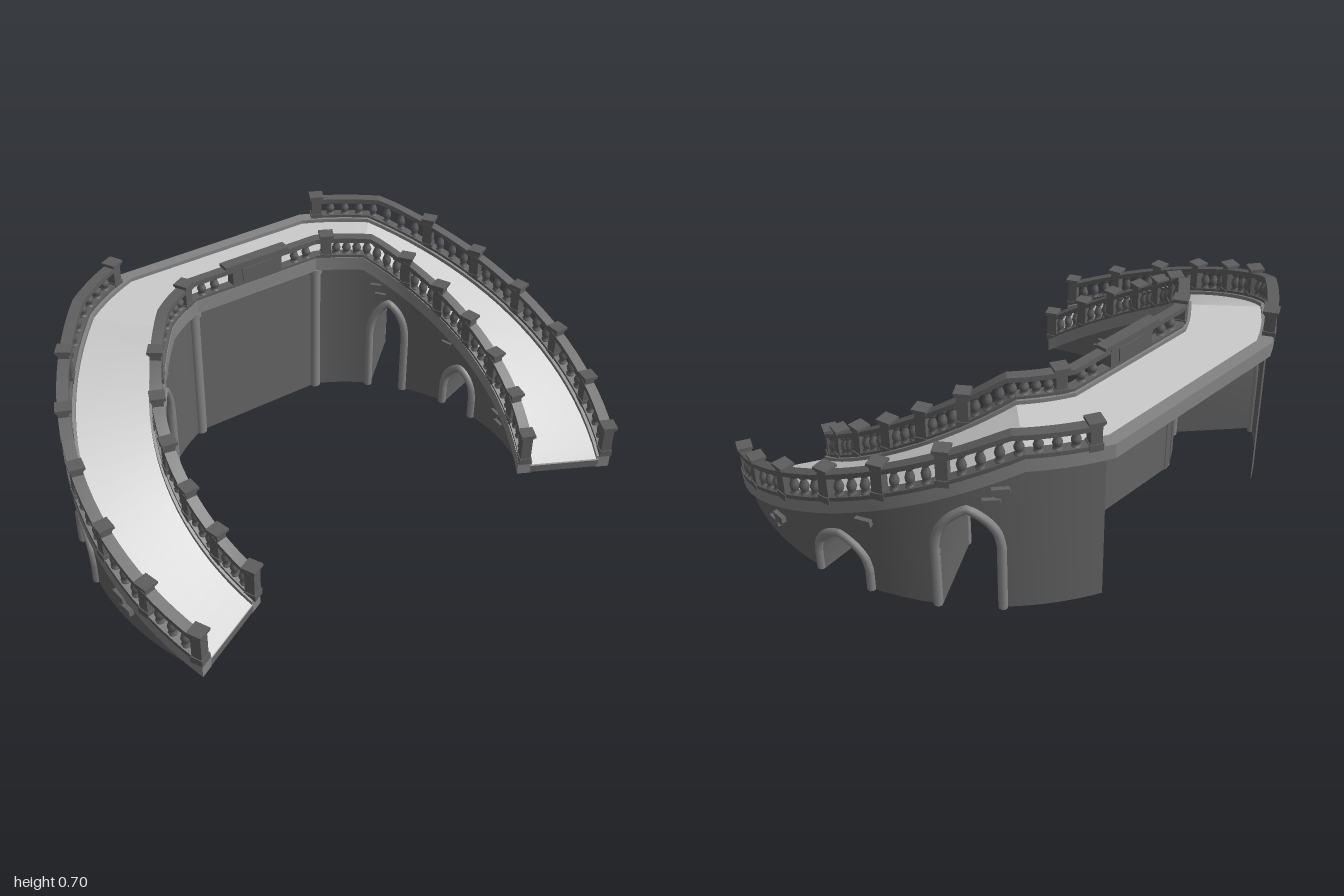
import * as THREE from 'three';
import { toCreasedNormals } from 'three/addons/utils/BufferGeometryUtils.js';

// The plan is polar: angle 0 is +x, 90 is the back; both ramps share one centre.
const CZ = 0.22, START = -27.1, END = 66, WALL_END = 64.8, SHIFT = 1.6;
const low = { a: 12.9, w: 5.3, spring: 0.08, apex: 0.18 };
const tall = { a: 39.2, w: 5.3, spring: 0.25, apex: 0.385 };
const IN = { r0: 0.637, r1: 0.69, wall: 0.659, rail: 0.66, arches: [low, { ...tall, a: tall.a + SHIFT }] };
const OUT = { r0: 0.937, r1: 0.988, wall: 0.967, rail: 0.969, arches: [low, tall] };
const material = (color) => new THREE.MeshStandardMaterial({ color, side: THREE.DoubleSide });
const paving = material(0xd4d4d4), trim = material(0x848484), stonework = material(0x646464), railing = material(0x5e5e5e);

const rad = THREE.MathUtils.degToRad;
const fold = (t) => (t > 90 ? 180 - t : t);
const polar = (r, t, y) => new THREE.Vector3(r * Math.cos(rad(t)), y, CZ - r * Math.sin(rad(t)));
const range = (a, b, n) => Array.from({ length: n + 1 }, (_, i) => a + ((b - a) * i) / n);
const mirror = (ts) => ts.map((t) => 180 - t).reverse();

// Height of the curb top: rises along the ramp, then stays level
const height = (t) => Math.min(0.605, 0.055 + 0.00715 * (fold(t) - START));
const railTop = (t) => Math.min(height(t) + 0.1, 0.685);

// Pointed arch height at angle t, or 0 outside the opening
function archY(t, { a, w, spring, apex }) {
  const d = Math.abs(fold(t) - a);
  if (d > w + 1e-6) return 0;
  const W = 0.087, H = apex - spring, R = (W * W + H * H) / (2 * W);
  const x = (Math.min(d, w) / w) * W + R - W;
  return spring + Math.sqrt(Math.max(0, R * R - x * x));
}
const wallBottom = (t, e) => Math.max(...e.arches.map((arch) => archY(t, arch)));
const archAngles = ({ a, w }) => [a - w - 0.01, ...range(a - w, a + w, 20), a + w + 0.01];

// Sweeps a profile [[r, y, angle offset], ...] given per angle; closed profiles get end caps
function sweep(angles, profile, closed = true) {
  const pos = [], idx = [];
  const n = profile(angles[0]).length, m = angles.length;
  for (const t of angles) for (const [r, y, dt = 0] of profile(t)) pos.push(...polar(r, t + dt, y).toArray());
  for (let i = 0; i < m - 1; i++) {
    for (let j = 0; j < (closed ? n : n - 1); j++) {
      const k = (j + 1) % n, a = i * n + j, b = a + n, c = i * n + k, d = c + n;
      idx.push(a, b, c, b, d, c);
    }
  }
  if (closed) {
    const e = (m - 1) * n;
    for (let j = 1; j < n - 1; j++) idx.push(0, j, j + 1, e, e + j + 1, e + j);
  }
  const g = new THREE.BufferGeometry();
  g.setAttribute('position', new THREE.Float32BufferAttribute(pos, 3));
  g.setIndex(idx);
  return toCreasedNormals(g, 0.35);
}
const bar = (angles, r0, r1, lo, hi) =>
  sweep(angles, (t) => [[r0, lo(t)], [r1, lo(t)], [r1, hi(t)], [r0, hi(t)]]);

export function createModel() {
  const model = new THREE.Group();
  const add = (name, geometry, mat, parent = model) => {
    const mesh = new THREE.Mesh(geometry, mat);
    mesh.name = name;
    parent.add(mesh);
    return mesh;
  };
  const place = (mesh, r, t, y) => {
    mesh.position.copy(polar(r, t, y));
    mesh.rotation.y = rad(t);
    return mesh;
  };

  const half = [...range(START, 49.8, 22), ...range(53, END, 4)];
  const full = [...half, ...mirror(half)];

  // Paved surface on a darker slab, and the curbs on both edges
  add('floor', bar(full, 0.685, 0.945, (t) => height(t) - 0.02, (t) => height(t) - 0.014), paving);
  add('slab', bar(full, 0.685, 0.945, (t) => height(t) - 0.05, (t) => height(t) - 0.021), stonework);
  for (const [side, e] of [['inner', IN], ['outer', OUT]])
    add(side + 'Curb', bar(full, e.r0, e.r1, (t) => height(t) - 0.053, height), trim);

  // Walls with arched openings; the outer ones stop at the landing
  const wallTop = (t) => height(t) - 0.045;
  const wallAngles = (e, end) =>
    [...half.filter((t) => t < end), end, ...e.arches.flatMap(archAngles)].sort((p, q) => p - q);
  const innerAngles = wallAngles(IN, END), outerAngles = wallAngles(OUT, WALL_END);
  add('innerWall', sweep([...innerAngles, ...mirror(innerAngles)],
    (t) => [[IN.wall, wallTop(t)], [IN.wall, wallBottom(t, IN)]], false), stonework);
  for (const angles of [outerAngles, mirror(outerAngles)])
    add('outerWall', sweep(angles, (t) => [[OUT.wall, wallBottom(t, OUT)], [OUT.wall, wallTop(t)]], false), stonework);

  // Ledge under the landing, behind the inner wall
  add('landingLedge', bar([END, 180 - END], IN.wall, IN.wall + 0.04, () => 0.525, () => 0.557), stonework);

  // Arch passages, and round mouldings on both wall faces
  for (const flip of [false, true]) {
    OUT.arches.forEach((arch, i) => {
      const angles = flip ? mirror(archAngles(arch)) : archAngles(arch);
      const shift = (IN.arches[i].a - arch.a) * (flip ? -1 : 1);
      add('archPassage', sweep(angles,
        (t) => [[IN.wall, wallBottom(t, OUT), shift], [OUT.wall, wallBottom(t, OUT)]], false), stonework);
    });
    for (const e of [IN, OUT]) for (const arch of e.arches) {
      const f = { ...arch, w: arch.w + 0.9, apex: arch.apex + 0.014 };
      const pts = [
        ...range(0, f.spring * 0.9, 3).map((y) => [f.a - f.w, y]),
        ...range(f.a - f.w, f.a + f.w, 20).map((t) => [t, archY(t, f)]),
        ...range(f.spring * 0.9, 0, 3).map((y) => [f.a + f.w, y]),
      ].map(([t, y]) => polar(e.wall, flip ? 180 - t : t, y));
      add('archMoulding', new THREE.TubeGeometry(new THREE.CatmullRomCurve3(pts), 60, 0.016, 8), trim);
    }
  }

  // Balustrade parts
  const vase = new THREE.LatheGeometry(
    [[0.016, 0], [0.016, 0.1], [0.009, 0.15], [0.015, 0.3], [0.017, 0.45], [0.014, 0.6], [0.009, 0.78], [0.009, 0.86], [0.016, 0.9], [0.016, 1]]
      .map(([r, y]) => new THREE.Vector2(r, y)), 8);
  const baluster = (r, t, parent) => {
    const lo = height(t) + 0.008, hi = railTop(t) - 0.016;
    place(add('baluster', vase, railing, parent), r, t, lo).scale.y = hi - lo;
  };
  const post = (r, t, parent) => {
    const lo = height(t) - 0.01, hi = fold(t) > 49 ? 0.7 : height(t) + 0.125;
    const block = (name, w, y0, y1) =>
      place(add(name, new THREE.BoxGeometry(w, y1 - y0, w), railing, parent), r, t, (y0 + y1) / 2);
    block('post', 0.038, lo, hi - 0.008);
    block('postBase', 0.045, lo, lo + 0.025);
    block('postNeck', 0.045, hi - 0.018, hi - 0.01);
    block('postCap', 0.054, hi - 0.01, hi);
  };

  const posts = [-26, -14, -1.5, 11, 23, 35.3, 62.3];
  const railHalf = [...range(-26, 47.4, 24), 49.8, ...range(52, 62.3, 4)];
  const rails = (name, angles, r, parent) => {
    add(name + 'Handrail', bar(angles, r - 0.02, r + 0.02, (t) => railTop(t) - 0.018, railTop), railing, parent);
    add(name + 'FootRail', bar(angles, r - 0.02, r + 0.02, (t) => height(t) - 0.005, (t) => height(t) + 0.01), railing, parent);
  };
  for (const [side, e] of [['inner', IN], ['outer', OUT]]) {
    const group = new THREE.Group();
    group.name = side + 'Balustrade';
    model.add(group);
    if (side === 'inner') rails(side, [...railHalf, END, ...mirror([...railHalf, END])], e.rail, group);
    else for (const angles of [railHalf, mirror(railHalf)]) rails(side, angles, e.rail, group);
    for (const m of [(t) => t, (t) => 180 - t]) {
      posts.forEach((t, i) => {
        post(e.rail, m(t), group);
        if (!i) return;
        const n = i === posts.length - 1 ? 8 : 4;
        range(posts[i - 1], t, n).slice(1, -1).forEach((b) => baluster(e.rail, m(b), group));
      });
    }
  }

  // Straight front of the landing: balusters and a solid centre panel
  const frontZ = polar(IN.rail, END, 0).z;
  const box = (name, w, h, d, y, mat = railing) =>
    add(name, new THREE.BoxGeometry(w, h, d), mat).position.set(0, y, frontZ);
  for (const x of [-0.227, -0.174, 0.174, 0.227]) {
    const b = add('landingBaluster', vase, railing);
    b.position.set(x, 0.613, frontZ);
    b.scale.y = 0.056;
  }
  box('centrePanel', 0.21, 0.088, 0.038, 0.647);
  box('raisedPanel', 0.13, 0.055, 0.046, 0.645);
  box('panelCap', 0.27, 0.012, 0.045, 0.694);

  // Half-round columns on the front of the landing corners
  for (const s of [1, -1]) {
    for (const [name, r, y0, y1] of [['column', 0.021, 0, 0.555], ['columnCapital', 0.028, 0.535, 0.555]]) {
      const g = new THREE.CylinderGeometry(r, r, y1 - y0, 10, 1, false, -Math.PI / 2, Math.PI);
      const column = place(add(name, g, trim), IN.wall, s > 0 ? END : 180 - END, (y0 + y1) / 2);
      column.rotation.y = -s * rad(12);
    }
  }

  // Ribs under the ramps
  for (const t of range(-20, 48, 15))
    for (const s of [t, 180 - t])
      place(add('rib', new THREE.BoxGeometry(0.26, 0.03, 0.022), stonework), 0.815, s, height(t) - 0.06);

  // Loose stones standing proud of the walls: angle, height
  const outline = [[-0.03, 0.014], [0.026, 0.017], [0.03, -0.004], [0.02, -0.016], [-0.016, -0.017]];
  const stone = new THREE.ExtrudeGeometry(
    new THREE.Shape(outline.map(([x, y]) => new THREE.Vector2(x, y))), { depth: 0.032, bevelEnabled: false });
  stone.translate(0, 0, -0.016).rotateY(Math.PI / 2);
  for (const [t, y] of [[-5.3, 0.1], [-7.2, 0.066], [19, 0.28], [45.5, 0.47], [43.8, 0.43]])
    for (const s of [t, 180 - t])
      for (const e of [IN, OUT])
        place(add('stone', stone, stonework), e.wall, s, y).scale.setScalar(e === IN ? 0.75 : 1);

  return model;
}
